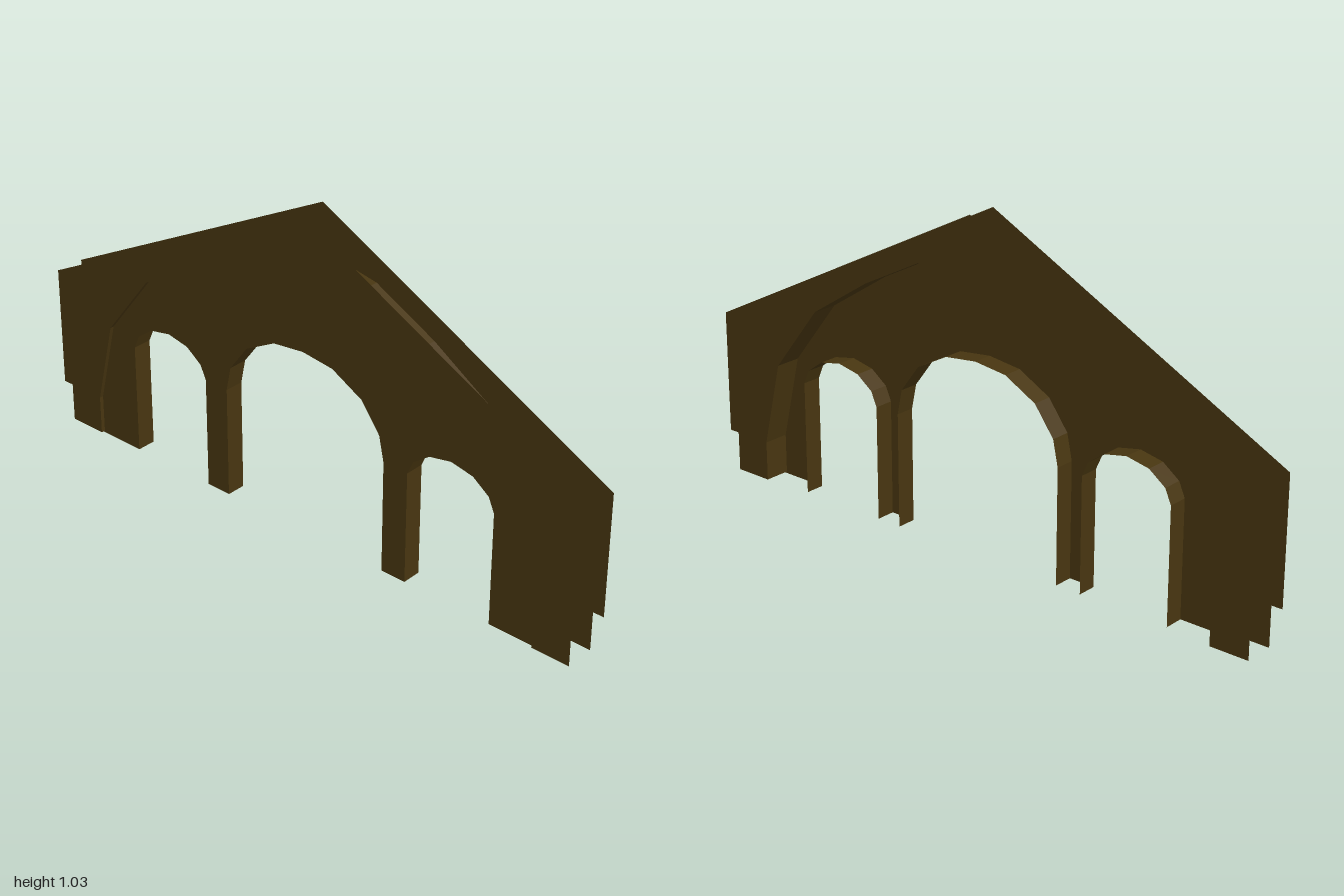
import * as THREE from 'three';

const FRONT = 0.048;    // half spacing of the two gable plates
const PANEL = -0.035;   // arcade wall plane
const REVEAL = 0.027;   // inner edge of the arch linings

const material = new THREE.MeshStandardMaterial({
  color: 0x473510, side: THREE.DoubleSide, flatShading: true,
});

// Completes a half profile (z, y) that ends on the centre line.
const mirrored = (half) => [...half, ...half.slice(0, -1).reverse().map(([z, y]) => [-z, y])];

// Flat sheet with a (z, y) outline at a given x, facing left or right.
function sheet(name, outline, x, side) {
  const shape = new THREE.Shape(outline.map(([z, y]) => new THREE.Vector2(side < 0 ? z : -z, y)));
  const geometry = new THREE.ShapeGeometry(shape);
  geometry.rotateY(side * Math.PI / 2);
  geometry.translate(x, 0, 0);
  const mesh = new THREE.Mesh(geometry, material);
  mesh.name = name;
  return mesh;
}

// Open strip following a (z, y) path between two x positions.
function strip(name, path, x0, x1) {
  const positions = [];
  for (let i = 0; i < path.length - 1; i++) {
    const [az, ay] = path[i], [bz, by] = path[i + 1];
    positions.push(x0, ay, az, x1, ay, az, x1, by, bz);
    positions.push(x0, ay, az, x1, by, bz, x0, by, bz);
  }
  const geometry = new THREE.BufferGeometry();
  geometry.setAttribute('position', new THREE.Float32BufferAttribute(positions, 3));
  geometry.computeVertexNormals();
  const mesh = new THREE.Mesh(geometry, material);
  mesh.name = name;
  return mesh;
}

export function createModel() {
  const group = new THREE.Group();
  group.name = 'archedGable';

  // Profiles, from +z to -z
  const gable = mirrored([[0.965, 0.005], [0.965, 0.13], [1, 0.13], [1, 0.52], [0, 1.03]]);
  const vault = mirrored([[0.84, 0.005], [0.84, 0.13], [0.775, 0.4], [0.61, 0.61],
    [0.4, 0.745], [0.195, 0.85], [0, 0.885]]);
  const centreArch = mirrored([[0.3, 0], [0.3, 0.36], [0.283, 0.44], [0.217, 0.528],
    [0.11, 0.585], [0, 0.598]]);
  const sideArch = mirrored([[0.15, 0], [0.15, 0.36], [0.13, 0.405], [0.075, 0.445], [0, 0.46]]);
  const leftArch = sideArch.map(([z, y]) => [z + 0.535, y]);
  const rightArch = sideArch.map(([z, y]) => [z - 0.535, y]);
  const arches = [leftArch, centreArch, rightArch];

  // Gable plates cut out by the vault
  const plate = [...gable, ...[...vault].reverse()];
  group.add(sheet('leftGablePlate', plate, FRONT, 1));
  group.add(sheet('rightGablePlate', plate, -FRONT, -1));

  // Vault joining the plates
  group.add(strip('vault', vault, -FRONT, FRONT));

  // Arcade wall, tucked slightly behind the vault edge
  const wallEdge = vault.map(([z, y]) => [z * 1.06, y < 0.01 ? 0 : y * 1.04]);
  const wall = [...wallEdge.reverse(), ...arches.flat()];
  group.add(sheet('arcadeWall', wall, PANEL, -1));

  // Linings of the three arches
  ['frontArchLining', 'centreArchLining', 'backArchLining'].forEach((name, i) => {
    group.add(strip(name, arches[i], REVEAL, PANEL));
  });

  return group;
}
